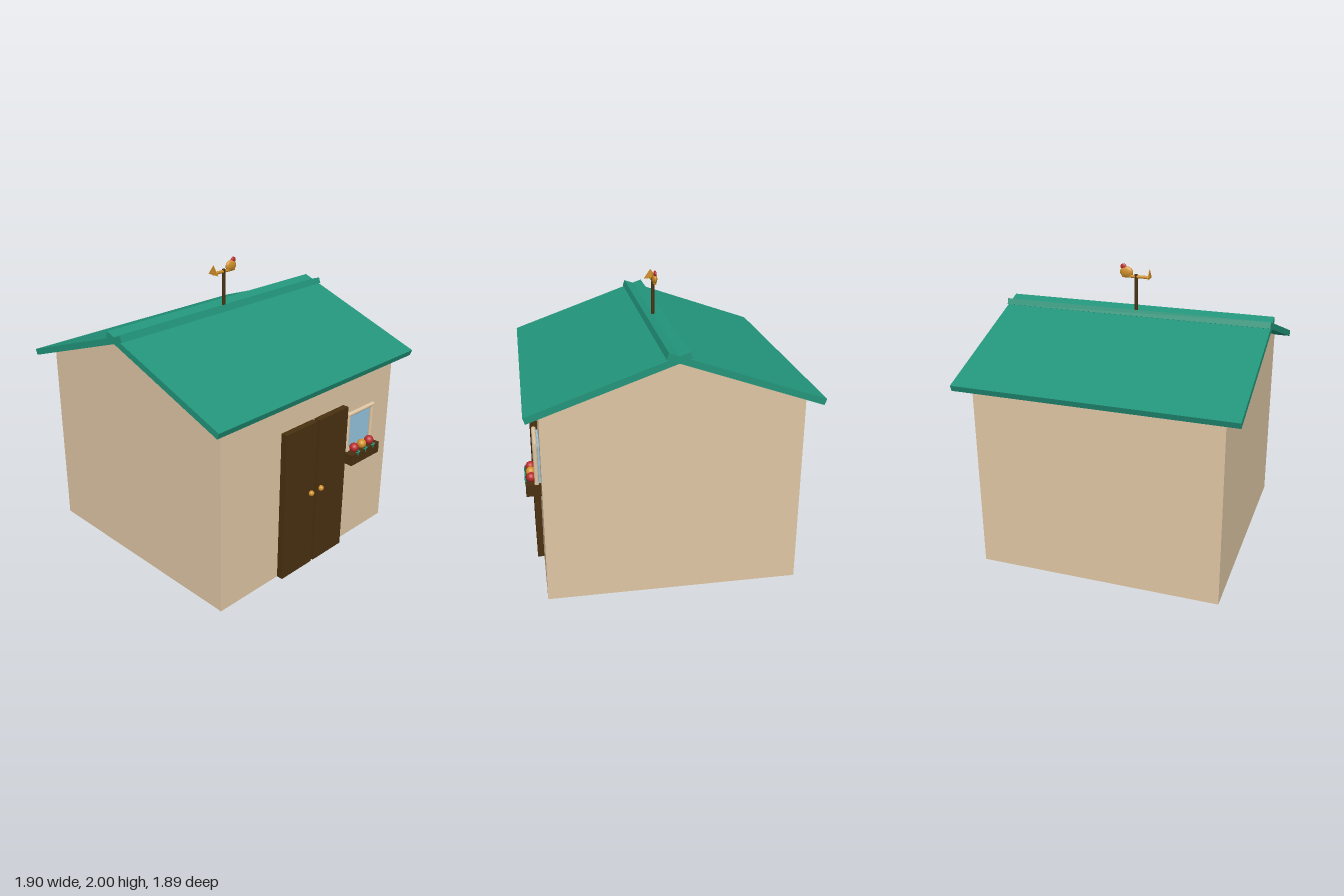
import * as THREE from 'three';

function material(name, color) {
  const m = new THREE.MeshStandardMaterial({ color });
  m.name = name;
  return m;
}

export function createModel() {
  const plaster = material('plaster', 0xdfc6a4);
  const teal = material('teal', 0x22947a);
  const wood = material('dark wood', 0x4a3010);
  const gold = material('gold', 0xd0902a);
  const red = material('red', 0xb82c2c);
  const glass = material('glass', 0x94c4de);

  const house = new THREE.Group();
  house.name = 'house';

  const add = (name, geometry, mat, x, y, z, parent = house) => {
    const mesh = new THREE.Mesh(geometry, mat);
    mesh.name = name;
    mesh.position.set(x, y, z);
    parent.add(mesh);
    return mesh;
  };
  const box = (w, h, d) => new THREE.BoxGeometry(w, h, d);
  const group = (name) => {
    const g = new THREE.Group();
    g.name = name;
    house.add(g);
    return g;
  };

  // Walls and the gable prism under the roof
  add('walls', box(1.69, 1.33, 1.69), plaster, 0, 0.665, 0);
  const triangle = new THREE.Shape();
  triangle.moveTo(-0.845, 0);
  triangle.lineTo(0.845, 0);
  triangle.lineTo(0, 0.3);
  const gableGeometry = new THREE.ExtrudeGeometry(triangle, { depth: 1.69, bevelEnabled: false });
  gableGeometry.translate(0, 0, -0.845).rotateY(Math.PI / 2);
  add('gable', gableGeometry, plaster, 0, 1.33, 0);

  // Two roof slabs that cross at the ridge
  for (const side of [1, -1]) {
    const slab = add(side > 0 ? 'frontRoof' : 'backRoof', box(1.9, 0.043, 1.066), teal, 0, 1.502, side * 0.43);
    slab.rotation.x = side * 0.339;
  }

  // Double door with round knobs
  for (const side of [1, -1]) {
    const label = side > 0 ? 'left' : 'right';
    add(label + 'Door', box(0.302, 1.09, 0.045), wood, side * 0.161, 0.545, 0.8675);
    add(label + 'Knob', new THREE.SphereGeometry(0.02, 16, 12), gold, side * 0.05, 0.57, 0.898);
  }

  // Window with a frame of rounded bars
  const win = group('window');
  add('pane', box(0.26, 0.27, 0.02), glass, 0.475, 0.875, 0.855, win);
  const post = new THREE.CylinderGeometry(0.015, 0.015, 0.29, 16);
  for (const x of [0.342, 0.608]) add('framePost', post, plaster, x, 0.875, 0.872, win);
  for (const y of [0.745, 1.013]) {
    add('frameRail', post, plaster, 0.475, y, 0.872, win).rotation.z = Math.PI / 2;
  }

  // Flower box with three blooms and leaves
  const planter = group('flowerBox');
  add('planter', box(0.31, 0.08, 0.1), wood, 0.47, 0.695, 0.895, planter);
  [red, gold, red].forEach((mat, i) => {
    const x = 0.385 + i * 0.085;
    add('bloom', new THREE.SphereGeometry(0.033, 20, 14), mat, x, 0.762, 0.906, planter);
    add('stem', new THREE.CylinderGeometry(0.005, 0.005, 0.04, 8), teal, x, 0.735, 0.944, planter);
    for (const side of [1, -1]) {
      const leaf = add('leaf', new THREE.SphereGeometry(0.012, 10, 8), teal, x + side * 0.011, 0.738, 0.944, planter);
      leaf.scale.set(1, 0.45, 0.5);
      leaf.rotation.z = side * 0.4;
    }
  });

  // Weathervane: pole, arm, tail fin and bird
  const vane = group('weathervane');
  add('pole', new THREE.CylinderGeometry(0.012, 0.012, 0.29, 16), wood, 0, 1.785, 0, vane);
  add('arm', new THREE.CylinderGeometry(0.011, 0.011, 0.2, 12), gold, 0, 1.915, 0, vane).rotation.z = Math.PI / 2;
  const fin = new THREE.Shape();
  fin.moveTo(-0.046, 0);
  fin.lineTo(0.046, 0);
  fin.lineTo(0, 0.065);
  const finGeometry = new THREE.ExtrudeGeometry(fin, { depth: 0.005, bevelEnabled: false });
  add('tailFin', finGeometry, gold, -0.098, 1.907, 0, vane).rotation.y = Math.PI / 2;
  add('birdBody', new THREE.SphereGeometry(0.048, 24, 16), gold, 0.069, 1.943, 0, vane).scale.set(1, 0.8, 0.38);
  add('birdComb', new THREE.SphereGeometry(0.022, 16, 12), red, 0.091, 1.979, 0, vane).scale.set(1, 0.95, 0.5);

  return house;
}
